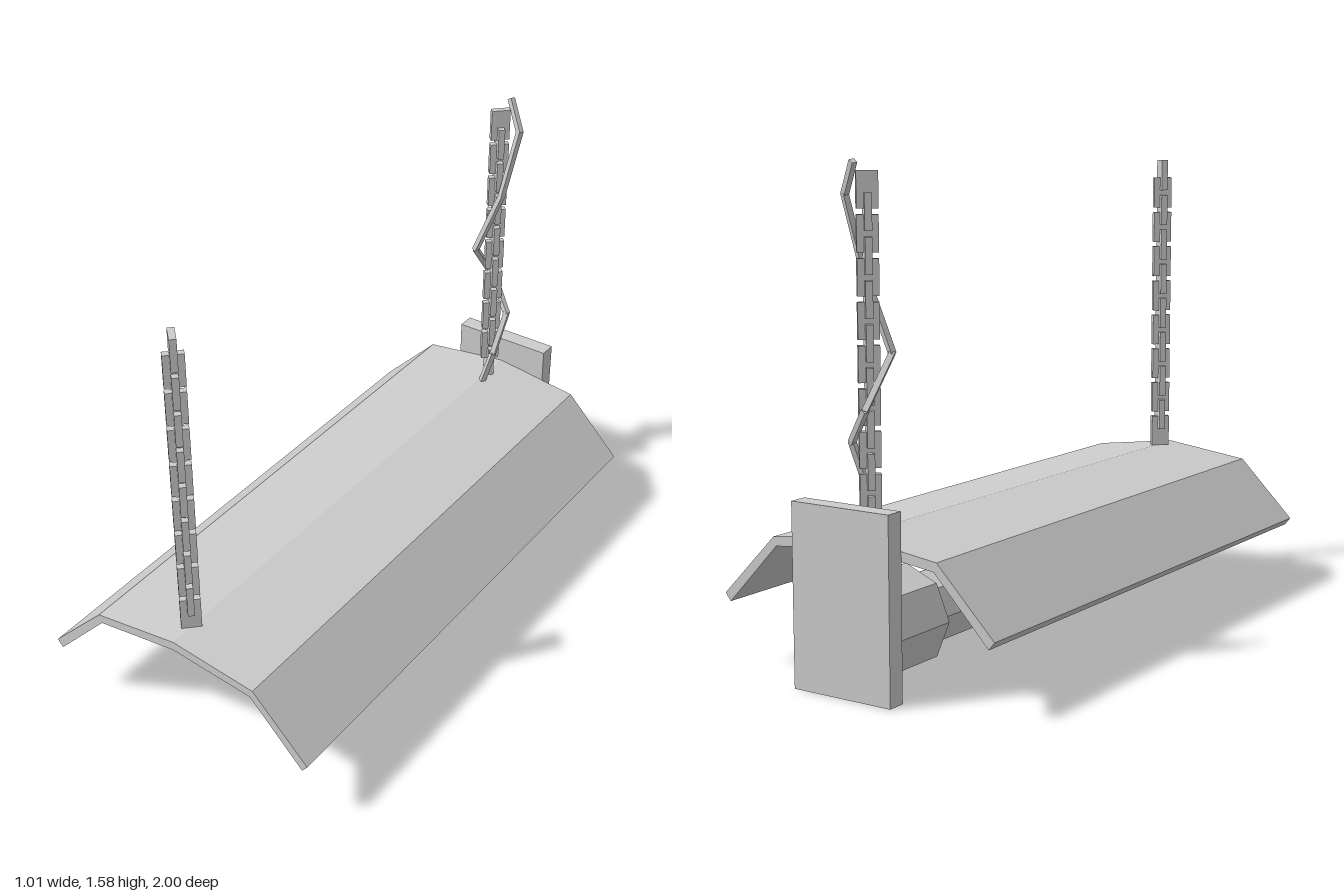
import * as THREE from 'three';

export function createModel() {
  const model = new THREE.Group();
  model.name = 'hangingLamp';
  const grey = new THREE.MeshStandardMaterial({ color: 0xcccccc, flatShading: true });
  grey.name = 'lightGrey';

  const add = (name, geometry, parent = model) => {
    const mesh = new THREE.Mesh(geometry, grey);
    mesh.name = name;
    parent.add(mesh);
    return mesh;
  };

  // Folded sheet shade, mirrored profile extruded along z
  const outer = [[0.505, 0.237], [0.305, 0.44], [0, 0.48]];
  const inner = [[0, 0.448], [0.295, 0.411], [0.485, 0.212]];
  const mirror = (pts) => pts.map(([x, y]) => [-x, y]).reverse();
  const profile = [...outer, ...mirror(outer).slice(1), ...mirror(inner), ...inner.slice(1)];
  const shape = new THREE.Shape(profile.map(([x, y]) => new THREE.Vector2(x, y)));
  add('shade', new THREE.ExtrudeGeometry(shape, { depth: 1.94, bevelEnabled: false })).position.z = -0.94;

  // Back plate
  add('backPlate', new THREE.BoxGeometry(0.36, 0.575, 0.06)).position.set(0, 0.2875, -0.97);

  // Octagonal socket
  const socket = new THREE.CylinderGeometry(0.163, 0.163, 0.26, 8).rotateX(Math.PI / 2);
  add('socket', socket).position.set(0, 0.183, -0.81);

  // Octagonal tube bulb with a faceted tip
  const bulbProfile = [[0.12, -0.7], [0.12, 0.662], [0.093, 0.713], [0, 0.745]];
  const bulb = new THREE.LatheGeometry(bulbProfile.map(([r, z]) => new THREE.Vector2(r, z)), 8);
  add('bulb', bulb.rotateX(Math.PI / 2)).position.y = 0.183;

  // Chains of crossed flat links, each turned 90 degrees from the last
  const linkGeometry = new THREE.BoxGeometry(0.065, 0.11, 0.022);
  const links = 16, pitch = 0.0637;
  const addChain = (name, z, turn) => {
    const chain = new THREE.Group();
    chain.name = name;
    chain.position.set(-0.004, 1.49, z);
    for (let i = 0; i < links; i++) {
      const link = add('link', linkGeometry, chain);
      link.position.y = -i * pitch;
      link.rotation.y = turn + (i % 2) * Math.PI / 2;
    }
    model.add(chain);
  };
  addChain('frontChain', 0.905, -Math.PI / 4);
  addChain('backChain', -0.855, Math.PI / 4);

  // Power cord winding around the back chain
  const cord = new THREE.Group();
  cord.name = 'cord';
  model.add(cord);
  const path = [
    [0.01, 1.57, -0.9], [0.068, 1.475, -0.867], [0.036, 1.24, -0.82], [-0.048, 1.01, -0.8],
    [-0.032, 0.85, -0.912], [0.055, 0.745, -0.865], [0.036, 0.59, -0.813], [0.012, 0.475, -0.785],
  ].map((p) => new THREE.Vector3(...p));
  for (let i = 1; i < path.length; i++) {
    const dir = path[i].clone().sub(path[i - 1]);
    const piece = add('cordPiece', new THREE.CylinderGeometry(0.013, 0.013, dir.length() + 0.006, 4), cord);
    piece.position.copy(path[i]).add(path[i - 1]).multiplyScalar(0.5);
    piece.quaternion.setFromUnitVectors(new THREE.Vector3(0, 1, 0), dir.normalize());
  }

  return model;
}
